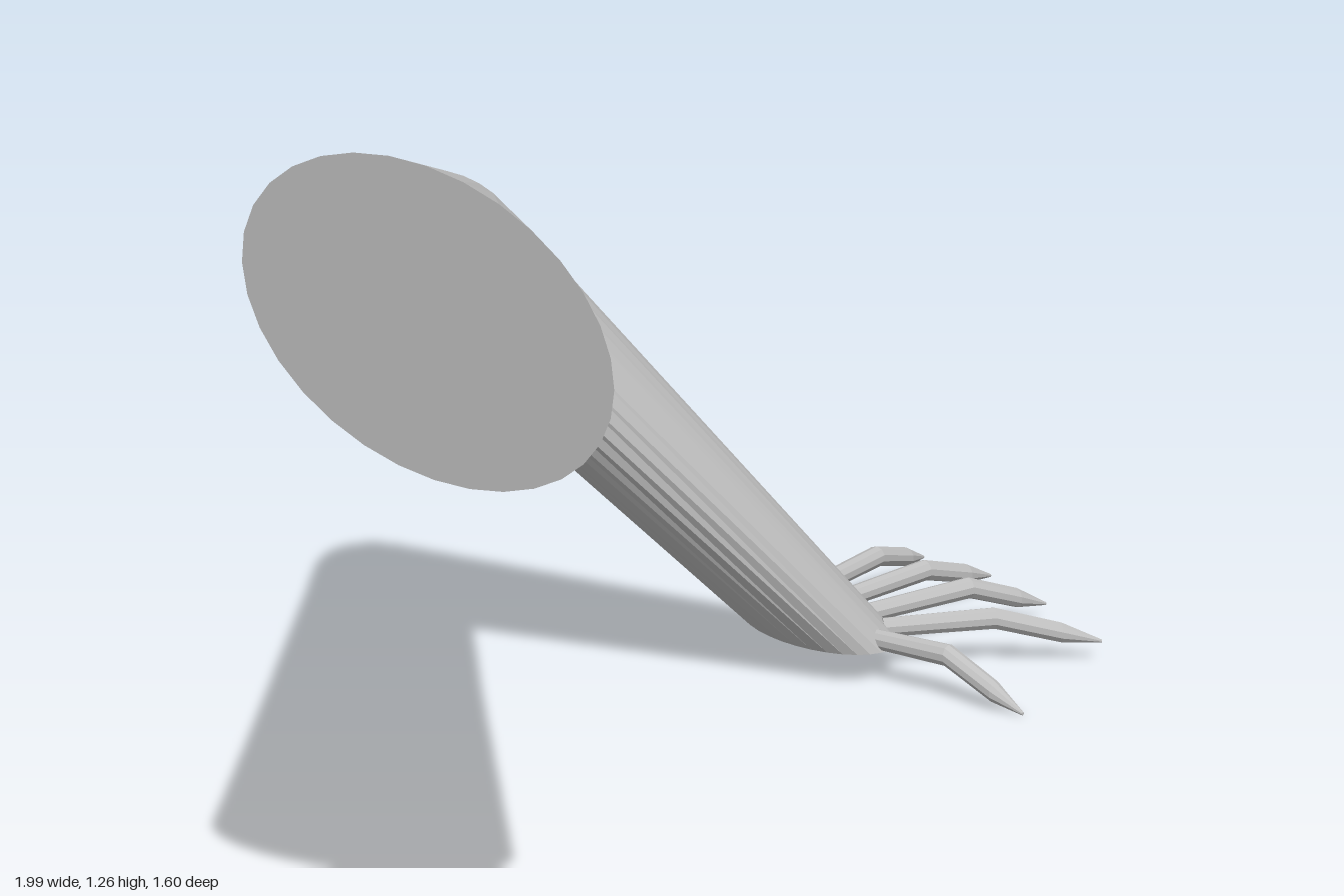
import * as THREE from 'three';

const V = (x, y, z) => new THREE.Vector3(x, y, z);

// Faceted skin through elliptical rings {c, u, v}, closed with flat caps
function loft(rings, sides) {
  const pos = [];
  const pt = ({ c, u, v }, j) => {
    const a = ((j % sides) / sides) * Math.PI * 2;
    return c.clone().addScaledVector(u, Math.cos(a)).addScaledVector(v, Math.sin(a));
  };
  const tri = (...pts) => pts.forEach(p => pos.push(p.x, p.y, p.z));
  const first = rings[0], last = rings[rings.length - 1];
  for (let j = 0; j < sides; j++) {
    for (let i = 0; i < rings.length - 1; i++) {
      const a = pt(rings[i], j), b = pt(rings[i], j + 1);
      const c = pt(rings[i + 1], j + 1), d = pt(rings[i + 1], j);
      tri(a, b, c);
      tri(a, c, d);
    }
    tri(first.c, pt(first, j + 1), pt(first, j));
    tri(last.c, pt(last, j), pt(last, j + 1));
  }
  const geo = new THREE.BufferGeometry();
  geo.setAttribute('position', new THREE.Float32BufferAttribute(pos, 3));
  geo.computeVertexNormals();
  return geo;
}

// Jointed digit: base, knuckle, start of the nail, pointed tip
function digit(base, knuckle, tip) {
  const dir = tip.clone().sub(base).setY(0).normalize();
  const ring = (c, r) => ({ c, u: V(0, r, 0), v: V(-dir.z * r, 0, dir.x * r) });
  const nail = knuckle.clone().lerp(tip, 0.62);
  return loft([ring(base, 0.018), ring(knuckle, 0.02), ring(nail, 0.019), ring(tip, 0.003)], 10);
}

export function createModel() {
  const group = new THREE.Group();
  const skin = new THREE.MeshStandardMaterial({ color: 0xbfbfbf });
  skin.name = 'grey';
  const add = (name, geo) => {
    const mesh = new THREE.Mesh(geo, skin);
    mesh.name = name;
    group.add(mesh);
  };

  // Bent arm: shoulder cut, mitred elbow, flat wrist
  const shoulder = { c: V(-0.795, 1.04, 0.7), u: V(-0.095, 0.225, 0), v: V(0.182, 0, 0.1) };
  const elbow = { c: V(-0.172, 0.822, -0.625), u: V(0.06, 0.097, -0.14), v: V(0.115, 0, 0.105) };
  const wrist = { c: V(0.515, 0.063, -0.49), u: V(0.087, -0.003, -0.113), v: V(0.08, -0.003, 0.14) };
  add('arm', loft([shoulder, elbow, wrist], 32));

  // Fingers fan out from the wrist and droop past the knuckle
  const fingers = [
    ['littleFinger', V(0.56, 0.08, -0.615), V(0.78, 0.088, -0.71), V(0.935, 0.042, -0.78)],
    ['ringFinger', V(0.59, 0.08, -0.545), V(0.81, 0.09, -0.59), V(0.99, 0.038, -0.63)],
    ['middleFinger', V(0.6, 0.08, -0.46), V(0.82, 0.092, -0.458), V(0.995, 0.032, -0.455)],
    ['indexFinger', V(0.58, 0.08, -0.38), V(0.77, 0.088, -0.303), V(0.95, 0.038, -0.22)],
    ['thumb', V(0.535, 0.08, -0.34), V(0.6, 0.08, -0.2), V(0.663, 0.005, -0.06)],
  ];
  for (const [name, base, knuckle, tip] of fingers) add(name, digit(base, knuckle, tip));
  return group;
}
